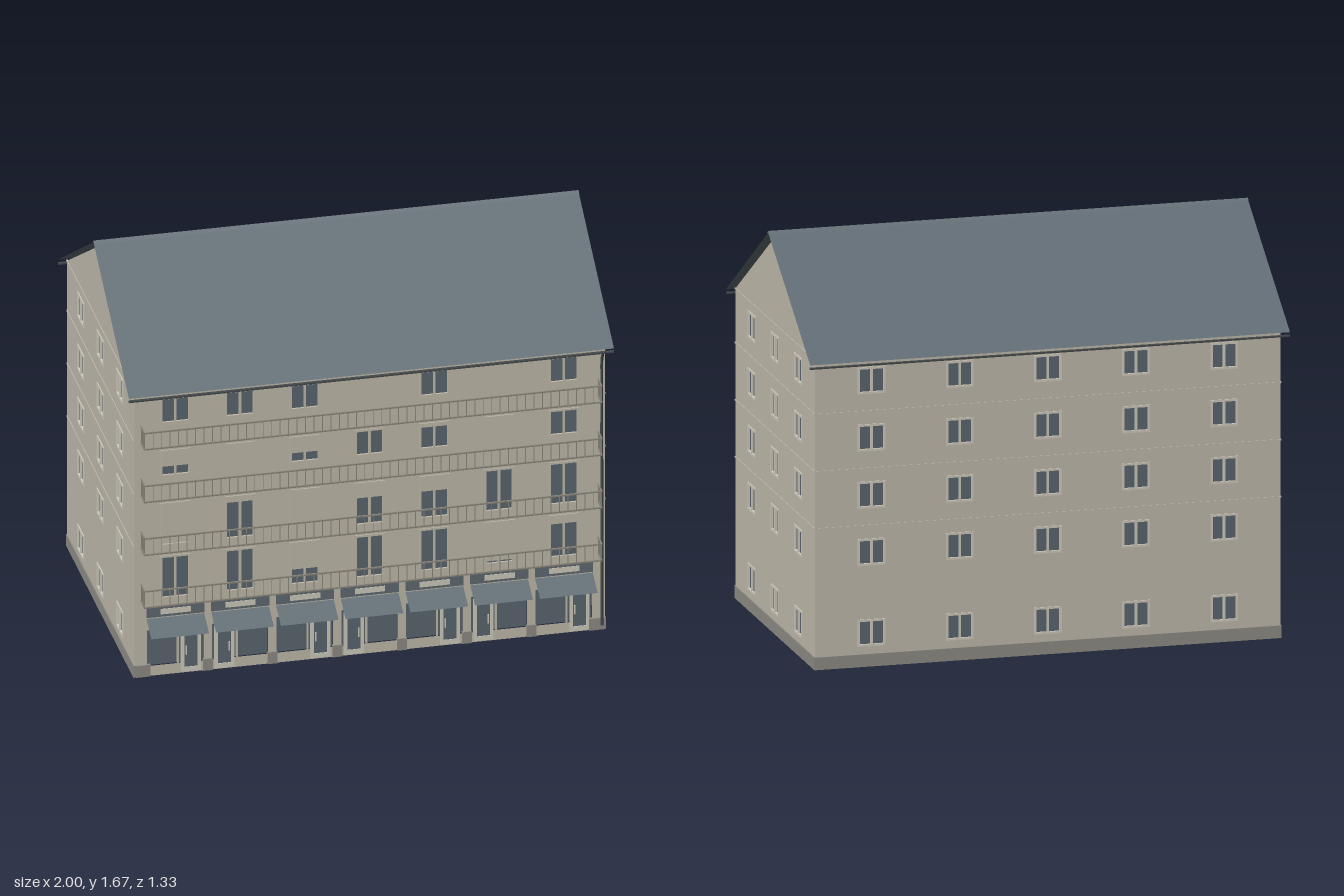
import * as THREE from 'three';

const flat = (name, color, side = THREE.FrontSide) => {
  const m = new THREE.MeshStandardMaterial({ color, side });
  m.name = name;
  return m;
};

export function createModel() {
  const wallMat = flat('beige plaster', 0xc3bdae, THREE.DoubleSide);
  const slate = flat('slate', 0x616c74, THREE.DoubleSide);
  const glassMat = flat('window glass', 0x5c6871, THREE.DoubleSide);
  const frameMat = flat('pale frame', 0xd3cec0);
  const railMat = flat('railing metal', 0x8f8a7e);
  const stone = flat('plinth stone', 0x918e87);
  const pipeMat = flat('dark gutter metal', 0x45494b);

  const model = new THREE.Group();
  model.name = 'apartmentBuilding';
  const body = new THREE.Group();
  body.name = 'body';
  body.position.z = -0.025;
  model.add(body);

  const add = (parent, name, geo, mat, x = 0, y = 0, z = 0) => {
    const m = new THREE.Mesh(geo, mat);
    m.name = name;
    m.position.set(x, y, z);
    parent.add(m);
    return m;
  };
  const box = (parent, name, mat, w, h, d, x, y, z) =>
    add(parent, name, new THREE.BoxGeometry(w, h, d), mat, x, y, z);
  const rect = (Type, cx, cy, w, h) => new Type([
    [-1, -1], [1, -1], [1, 1], [-1, 1],
  ].map(([a, b]) => new THREE.Vector2(cx + a * w / 2, cy + b * h / 2)));

  const HX = 0.97, HZ = 0.6, EAVE = 1.285;
  const FLOORS = [0.475, 0.7125, 0.95, 1.1875];

  // Flat facade with holes; local z points outward
  function facade(name, half, openings, angle, dist, gable) {
    const g = new THREE.Group();
    g.name = name;
    g.rotation.y = angle;
    g.position.set(Math.sin(angle) * dist, 0, Math.cos(angle) * dist);
    body.add(g);
    const pts = [[-half, 0], [half, 0], [half, EAVE]];
    if (gable) pts.push([0, 1.65]);
    pts.push([-half, EAVE]);
    const shape = new THREE.Shape(pts.map(p => new THREE.Vector2(...p)));
    openings.forEach(o => shape.holes.push(rect(THREE.Path, o.x, o.y, o.w, o.h)));
    add(g, name + 'Wall', new THREE.ShapeGeometry(shape), wallMat);
    return g;
  }

  // Two-leaf window with frame, glass and an optional lowered blind
  function windowUnit(g, o) {
    const f = rect(THREE.Shape, 0, 0, o.w, o.h);
    const t = 0.009, pane = (o.w - 3 * t) / 2;
    for (const s of [-1, 1])
      f.holes.push(rect(THREE.Path, s * (pane + t) / 2, 0, pane, o.h - 2 * t));
    add(g, 'windowFrame', new THREE.ExtrudeGeometry(f, { depth: 0.012, bevelEnabled: false }),
      o.frame || frameMat, o.x, o.y, -0.008);
    add(g, 'windowGlass', new THREE.PlaneGeometry(o.w, o.h), glassMat, o.x, o.y, -0.005);
    if (o.blind > 0) {
      const h = o.h * o.blind;
      box(g, 'blind', wallMat, o.w - 0.006, h, 0.008, o.x, o.y + o.h / 2 - h / 2, 0.001);
    }
  }

  // Side and back facades
  const grid = cols => [0.14, ...FLOORS].flatMap(y =>
    cols.map(x => ({ x, y, w: 0.115, h: 0.112 })));
  const sideWins = grid([-0.35, 0, 0.35]);
  const backWins = grid([-0.735, -0.3675, 0, 0.3675, 0.735]);
  for (const [name, half, wins, angle, dist, gable] of [
    ['leftSide', HZ, sideWins, Math.PI / 2, HX, true],
    ['rightSide', HZ, sideWins, -Math.PI / 2, HX, true],
    ['back', HX, backWins, Math.PI, HZ, false],
  ]) {
    const g = facade(name, half, wins, angle, dist, gable);
    wins.forEach(o => windowUnit(g, o));
    box(g, 'plinth', stone, half * 2 + 0.006, 0.052, 0.008, 0, 0.026, 0);
    for (const y of [0.585, 0.822, 1.06])
      box(g, 'stringCourse', wallMat, half * 2 + 0.004, 0.006, 0.006, 0, y, 0);
    if (gable) box(g, 'gableBand', wallMat, half * 2 + 0.01, 0.005, 0.006, 0, EAVE, 0);
  }

  // Front facade: tall doors on two floors, windows above, shops below
  const BAY = 0.267;
  const bays = [-3, -2, -1, 0, 1, 2, 3].map(i => i * BAY);
  const blinds = [
    [0, 0, 0.62, 0, 0, 0.9, 0.2],
    [0.93, 0.14, 1, 0.35, 0.35, 0, 0],
    [0.6, 1, 0.6, 0, 0.15, 1, 0],
    [0, 0, 0, 0.95, 0, 0.95, 0],
  ];
  const frontWins = blinds.flatMap((row, r) => bays.map((x, i) => {
    const top = FLOORS[r] + 0.06, h = r < 2 ? 0.195 : 0.12;
    return { x, y: top - h / 2, w: 0.125, h, blind: row[i], frame: wallMat };
  }));
  const shops = bays.map(x => ({ x, y: 0.125, w: 0.232, h: 0.16 }));
  const front = facade('front', HX, [...frontWins, ...shops], 0, HZ, false);
  frontWins.forEach(o => windowUnit(front, o));

  bays.forEach((x, i) => {
    const shop = new THREE.Group();
    shop.name = 'shop';
    shop.position.x = x;
    front.add(shop);
    const s = i % 2 ? -1 : 1;
    add(shop, 'shopGlass', new THREE.PlaneGeometry(0.232, 0.16), glassMat, 0, 0.125, -0.008);
    // Shop door beside the display window
    const door = rect(THREE.Shape, 0, 0.098, 0.082, 0.185);
    door.holes.push(rect(THREE.Path, 0, 0.1, 0.054, 0.15));
    add(shop, 'doorFrame', new THREE.ExtrudeGeometry(door, { depth: 0.01, bevelEnabled: false }),
      frameMat, s * 0.065, 0, -0.006);
    add(shop, 'doorGlass', new THREE.PlaneGeometry(0.054, 0.15), glassMat, s * 0.065, 0.1, 0.001);
    box(shop, 'doorHandle', frameMat, 0.005, 0.04, 0.006, s * 0.045, 0.1, 0.004);
    box(shop, 'shopMullion', wallMat, 0.008, 0.16, 0.01, s * 0.012, 0.125, -0.004);
    // Sign board with a blank pale panel
    box(shop, 'signBoard', slate, 0.238, 0.046, 0.008, 0, 0.288, 0.004);
    box(shop, 'signPanel', frameMat, 0.125, 0.024, 0.004, 0, 0.288, 0.008);
    // Sloping awning sheet
    const awning = add(shop, 'awning', new THREE.PlaneGeometry(0.238, Math.hypot(0.088, 0.048)),
      slate, 0, 0.234, 0.046);
    awning.rotation.x = -Math.atan2(0.088, 0.048);
  });
  for (let i = 0; i < 8; i++) {
    const x = THREE.MathUtils.clamp((i - 3.5) * BAY, -0.945, 0.945);
    box(front, 'pillarBase', stone, i % 7 ? 0.04 : 0.06, 0.052, 0.012, x, 0.026, 0);
  }

  // Continuous balcony railings
  const RX = 0.945, OUT = 0.07, RH = 0.076;
  for (const f of FLOORS) {
    const b = new THREE.Group();
    b.name = 'balconyRailing';
    b.position.y = f - 0.135;
    front.add(b);
    for (const y of [0.003, RH]) {
      box(b, 'rail', railMat, RX * 2, 0.006, 0.006, 0, y, OUT - 0.003);
      for (const s of [-1, 1]) box(b, 'endRail', railMat, 0.006, 0.006, OUT, s * (RX - 0.003), y, OUT / 2);
    }
    for (let i = 0; i <= 54; i++)
      box(b, 'baluster', railMat, 0.003, RH, 0.003, -RX + 0.003 + i * (2 * RX - 0.006) / 54, RH / 2, OUT - 0.003);
    for (const s of [-1, 1]) for (let k = 0; k < 4; k++)
      box(b, 'endBaluster', railMat, 0.003, RH, 0.003, s * (RX - 0.003), RH / 2, 0.008 + k * 0.016);
  }

  // Attic floor
  add(body, 'atticFloor', new THREE.PlaneGeometry(HX * 2, HZ * 2), wallMat, 0, EAVE - 0.003, 0)
    .rotation.x = -Math.PI / 2;

  // Thin roof slopes, ridge cap, eave strips
  const RUN = 0.635, RISE = 0.393, TOP = 1.668;
  for (const s of [-1, 1]) {
    const slope = new THREE.Group();
    slope.name = 'roofSlope';
    slope.rotation.y = s > 0 ? 0 : Math.PI;
    body.add(slope);
    add(slope, 'roofSheet', new THREE.PlaneGeometry(2, Math.hypot(RUN, RISE)), slate, 0, TOP - RISE / 2, RUN / 2)
      .rotation.x = -Math.atan2(RUN, RISE);
    box(slope, 'gutter', pipeMat, 2, 0.006, 0.014, 0, 1.26, RUN - 0.004);
  }
  const cap = new THREE.Shape([[-0.014, 0], [0.014, 0], [0, 0.011]].map(p => new THREE.Vector2(...p)));
  add(body, 'ridgeCap', new THREE.ExtrudeGeometry(cap, { depth: 2, bevelEnabled: false }), slate, -1, 1.664, 0)
    .rotation.y = Math.PI / 2;

  // Downpipe at the front corner
  const path = new THREE.CatmullRomCurve3([[0.03, 1.262], [0.018, 1.25], [0.005, 1.225], [0.005, 0.6], [0.005, 0.02]]
    .map(([z, y]) => new THREE.Vector3(0.957, y, z)), false, 'centripetal');
  add(front, 'downpipe', new THREE.TubeGeometry(path, 24, 0.006, 8), pipeMat);

  return model;
}
